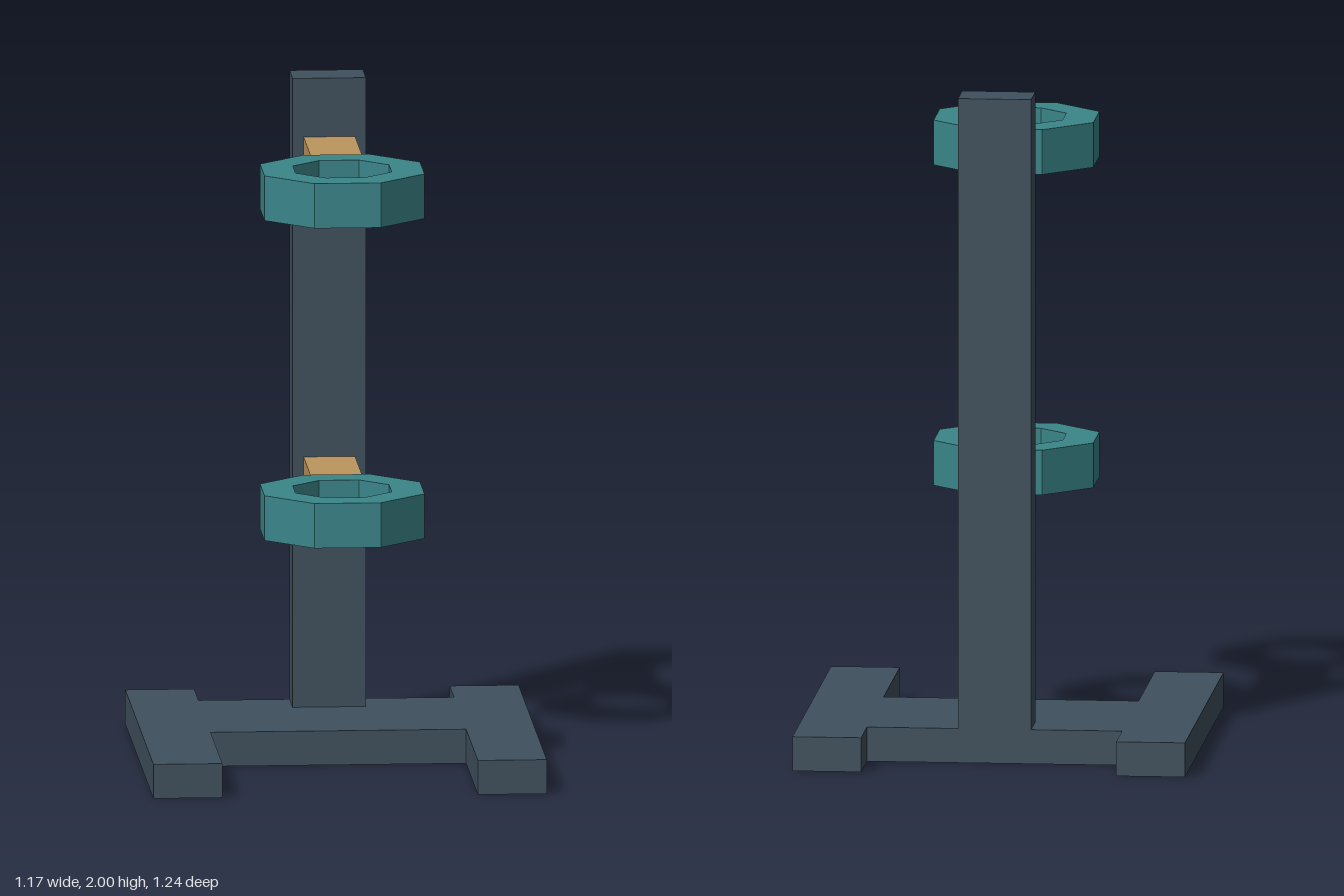
import * as THREE from 'three';

const material = (color) => new THREE.MeshStandardMaterial({ color, flatShading: true });

// Regular octagon outline with flat sides facing the axes
function octagon(target, apothem) {
  const r = apothem / Math.cos(Math.PI / 8);
  const points = [];
  for (let i = 0; i < 8; i++) {
    const a = Math.PI / 8 + (i * Math.PI) / 4;
    points.push(new THREE.Vector2(r * Math.cos(a), r * Math.sin(a)));
  }
  return target.setFromPoints(points);
}

// Extrude a plan outline (x, -z) upward from y = 0
function extrudeUp(shape, height) {
  const geometry = new THREE.ExtrudeGeometry(shape, { depth: height, bevelEnabled: false });
  return geometry.rotateX(-Math.PI / 2);
}

export function createModel() {
  const model = new THREE.Group();
  model.name = 'ringStand';
  const slate = material(0x3f505d);
  const teal = material(0x3a8589);
  const tan = material(0xbd965d);

  function add(name, geometry, mat, x, y, z) {
    const mesh = new THREE.Mesh(geometry, mat);
    mesh.name = name;
    mesh.position.set(x, y, z);
    model.add(mesh);
  }

  // H-shaped base: two long rails joined by a wide plate
  const outer = 0.585, inner = 0.38, end = 0.618, plateFront = -0.1, plateBack = 0.43;
  const baseShape = new THREE.Shape([
    [-outer, -end], [-inner, -end], [-inner, plateFront], [inner, plateFront],
    [inner, -end], [outer, -end], [outer, end], [inner, end],
    [inner, plateBack], [-inner, plateBack], [-inner, end], [-outer, end],
  ].map(([x, y]) => new THREE.Vector2(x, y)));
  const baseHeight = 0.103;
  add('base', extrudeUp(baseShape, baseHeight), slate, 0, 0, 0);

  // Upright post flush with the back of the plate
  const postHeight = 2 - baseHeight;
  add('post', new THREE.BoxGeometry(0.218, postHeight, 0.135), slate, 0, baseHeight + postHeight / 2, -0.3625);

  // Two holders, each an arm carrying an octagonal ring
  const ringHeight = 0.135;
  const ringShape = octagon(new THREE.Shape(), 0.238);
  ringShape.holes.push(octagon(new THREE.Path(), 0.143));
  const ringGeometry = extrudeUp(ringShape, ringHeight);
  const armGeometry = new THREE.BoxGeometry(0.153, 0.122, 0.331);
  for (const [label, y] of [['lower', 0.797], ['upper', 1.762]]) {
    add(label + 'Arm', armGeometry, tan, 0, y, -0.1295);
    add(label + 'Ring', ringGeometry, teal, 0, y - ringHeight / 2, 0.274);
  }
  return model;
}
